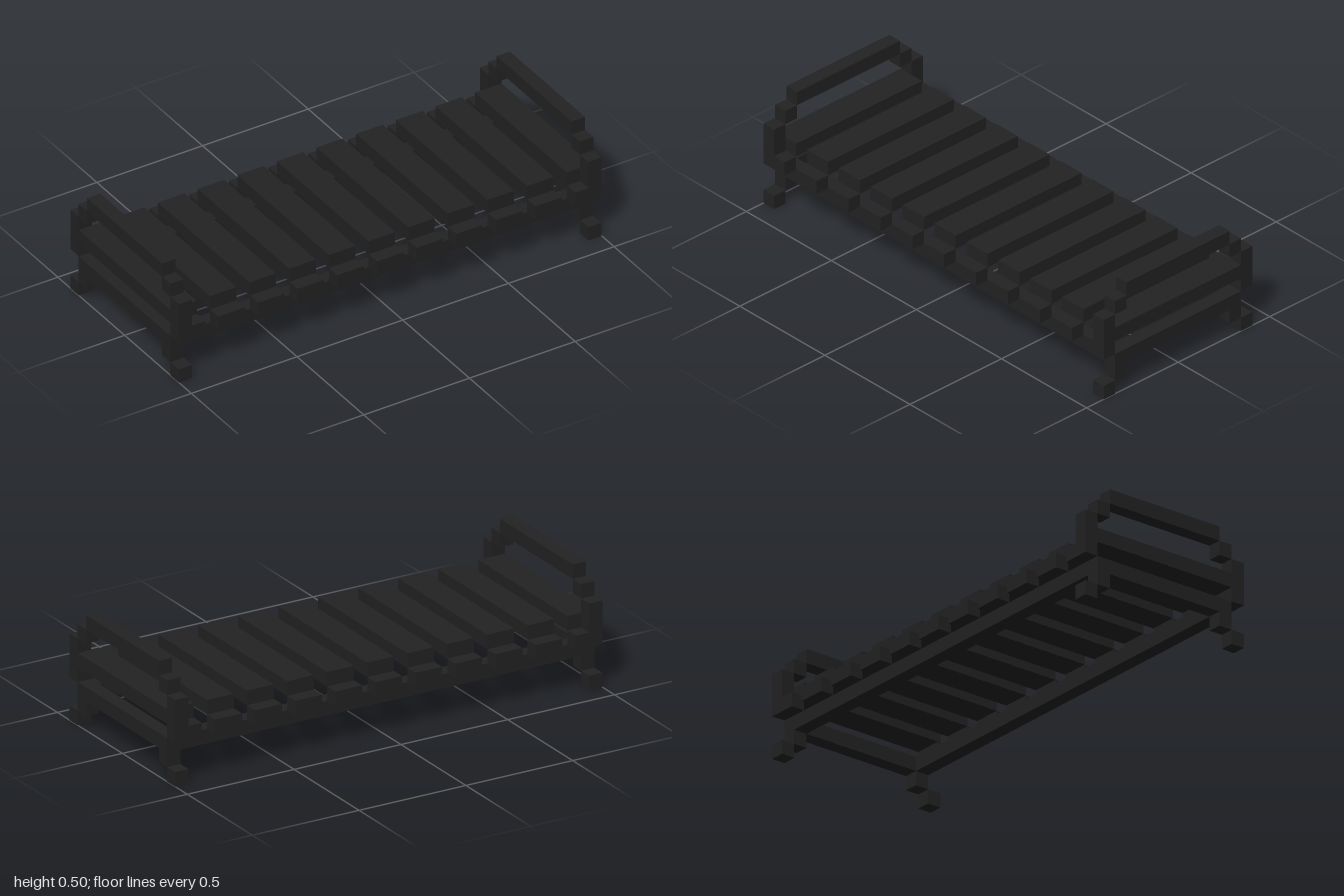
import * as THREE from 'three';

const U = 0.0625; // one block

export function createModel() {
  const model = new THREE.Group();
  model.name = 'bedFrame';
  const iron = new THREE.MeshStandardMaterial({ color: 0x222222 });
  iron.name = 'dark iron';

  // Box from min/max corners, in blocks
  function bar(name, x0, x1, y0, y1, z0, z1) {
    const mesh = new THREE.Mesh(new THREE.BoxGeometry((x1 - x0) * U, (y1 - y0) * U, (z1 - z0) * U), iron);
    mesh.position.set((x0 + x1) / 2 * U, (y0 + y1) / 2 * U, (z0 + z1) / 2 * U);
    mesh.name = name;
    model.add(mesh);
  }
  // Same bar mirrored to front and back
  function pair(name, x0, x1, y0, y1, z0, z1) {
    bar(name, x0, x1, y0, y1, z0, z1);
    bar(name, x0, x1, y0, y1, -z1, -z0);
  }

  // Long side rails
  pair('sideRail', -15, 15, 2, 3, 4.5, 5.5);

  // Head and foot ends with stepped legs and arched top
  for (const x of [-16, 15]) {
    pair('foot', x, x + 1, 0, 1, 5.5, 6.5);
    pair('leg', x, x + 1, 1, 2, 4.5, 5.5);
    bar('endRail', x, x + 1, 2, 3, -5.5, 5.5);
    pair('post', x, x + 1, 3, 6, 5.5, 6.5);
    bar('middleRail', x, x + 1, 4, 5, -5.5, 5.5);
    pair('archCorner', x, x + 1, 6, 7, 4.5, 5.5);
    bar('topRail', x, x + 1, 7, 8, -4.5, 4.5);
  }

  // Slats, each with a lower block at both ends
  function slat(x0, x1) {
    bar('slat', x0, x1, 4, 5, -5.5, 5.5);
    pair('slatEnd', x0, x1, 3, 4, 5.5, 6.5);
  }
  for (let x = -12; x <= 12; x += 3) slat(x - 1, x + 1);
  slat(-15, -14);
  slat(14, 15);

  return model;
}
